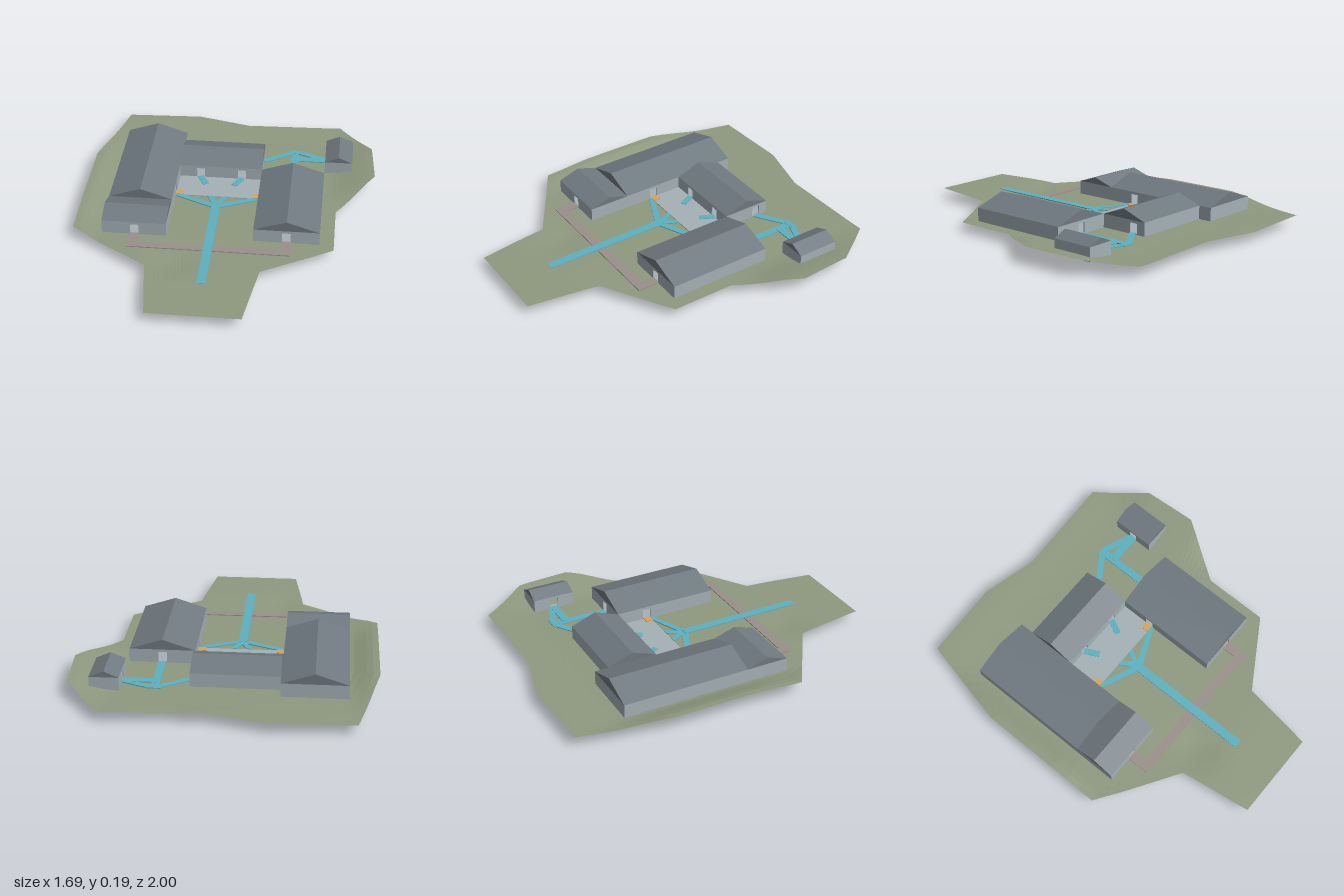
import * as THREE from 'three';

const mat = (name, color, side = THREE.FrontSide) => {
  const m = new THREE.MeshStandardMaterial({ color, side, flatShading: true });
  m.name = name;
  return m;
};

export function createModel() {
  const grass = mat('grass', 0x8f997f, THREE.DoubleSide);
  const wall = mat('wall', 0xa5b1b7, THREE.DoubleSide);
  const roof = mat('roof', 0x707a81);
  const teal = mat('tealPath', 0x5db1c0);
  const mauve = mat('mauvePath', 0x9a908b);
  const orange = mat('stairwell', 0xdba259);

  const model = new THREE.Group();
  const add = (parent, name, geometry, material) => {
    const mesh = new THREE.Mesh(geometry, material);
    mesh.name = name;
    parent.add(mesh);
    return mesh;
  };
  // Box given by its limits on each axis
  const box = (parent, name, material, x0, x1, y0, y1, z0, z1) => {
    const mesh = add(parent, name, new THREE.BoxGeometry(x1 - x0, y1 - y0, z1 - z0), material);
    mesh.position.set((x0 + x1) / 2, (y0 + y1) / 2, (z0 + z1) / 2);
  };
  const polygon = (pts) => new THREE.Shape(pts.map(([x, y]) => new THREE.Vector2(x, y)));

  // Ground: rings between the centre and the site outline, rising at both sides
  const outline = [[-0.73, -0.98], [-0.28, -1], [0.04, -0.92], [0.62, -0.94], [0.82, -0.66], [0.84, -0.35],
    [0.62, -0.02], [0.62, 0.35], [0.23, 0.59], [0.17, 1], [-0.34, 1], [-0.4, 0.59], [-0.85, 0.3], [-0.85, -0.45]];
  const ss = THREE.MathUtils.smoothstep;
  const height = (x, z) => 0.052
    + 0.04 * ss(-x, 0.67, 0.84) * (1 - ss(-z, 0.4, 1)) * (1 - 0.5 * ss(z, 0, 0.3))
    + 0.046 * ss(x, 0.54, 0.86) * ss(-z, 0, 0.3) * (1 - 0.7 * ss(-z, 0.6, 0.95))
    + 0.009 * ss(z, 0.35, 0.75) + 0.008 * ss(-z, 0.7, 0.98)
    - 0.012 * Math.exp(-((x + 0.25) ** 2 + (z - 0.56) ** 2) / 0.015);
  const rim = [];
  outline.forEach(([x, z], i) => {
    const [nx, nz] = outline[(i + 1) % outline.length];
    for (let k = 0; k < 8; k++) rim.push([x + (nx - x) * k / 8, z + (nz - z) * k / 8]);
  });
  const rings = 24, n = rim.length, pos = [], index = [];
  for (let r = 0; r <= rings; r++) {
    for (const [x, z] of rim) {
      const px = x * r / rings, pz = z * r / rings;
      pos.push(px, height(px, pz), pz);
    }
  }
  for (let r = 0; r < rings; r++) {
    for (let i = 0; i < n; i++) {
      const a = r * n + i, b = r * n + (i + 1) % n;
      if (r > 0) index.push(a, b, a + n);
      index.push(b, b + n, a + n);
    }
  }
  const ground = new THREE.BufferGeometry();
  ground.setAttribute('position', new THREE.Float32BufferAttribute(pos, 3));
  ground.setIndex(index);
  ground.computeVertexNormals();
  add(model, 'ground', ground, grass);

  // Gable roof: a closed prism with its ridge along x or z
  const gable = (parent, x0, x1, z0, z1, eave, ridge, axis) => {
    const alongZ = axis === 'z';
    const half = (alongZ ? x1 - x0 : z1 - z0) / 2;
    const length = alongZ ? z1 - z0 : x1 - x0;
    const geo = new THREE.ExtrudeGeometry(polygon([[-half, 0], [half, 0], [0, ridge - eave]]),
      { depth: length, bevelEnabled: false });
    geo.translate(0, 0, -length / 2);
    const mesh = add(parent, 'gableRoof', geo, roof);
    if (!alongZ) mesh.rotation.y = Math.PI / 2;
    mesh.position.set((x0 + x1) / 2, eave, (z0 + z1) / 2);
  };

  // Wall panel from a to b with open doorways at the given distances along it
  const panel = (parent, a, b, y0, y1, doors) => {
    const length = Math.hypot(b[0] - a[0], b[1] - a[1]);
    const shape = polygon([[0, y0], [length, y0], [length, y1], [0, y1]]);
    for (const d of doors) {
      const hole = new THREE.Path();
      hole.moveTo(d - 0.024, y0 + 0.007).lineTo(d - 0.024, 0.115).lineTo(d + 0.024, 0.115)
        .lineTo(d + 0.024, y0 + 0.007).closePath();
      shape.holes.push(hole);
    }
    const mesh = add(parent, 'wallPanel',
      new THREE.ExtrudeGeometry(shape, { depth: 0.006, bevelEnabled: false }).translate(0, 0, -0.006), wall);
    mesh.position.set(a[0], 0, a[1]);
    mesh.rotation.y = -Math.atan2(b[1] - a[1], b[0] - a[0]);
  };

  // Hollow building; door positions are world x (front, back) or z (left, right)
  const building = (name, x0, x1, z0, z1, eave, doors) => {
    const g = new THREE.Group();
    g.name = name;
    model.add(g);
    const y0 = 0.05, { front = [], back = [], left = [], right = [] } = doors;
    panel(g, [x0, z1], [x1, z1], y0, eave, front.map((x) => x - x0));
    panel(g, [x1, z0], [x0, z0], y0, eave, back.map((x) => x1 - x));
    panel(g, [x1, z1], [x1, z0], y0, eave, left.map((z) => z1 - z));
    panel(g, [x0, z0], [x0, z1], y0, eave, right.map((z) => z - z0));
    box(g, 'floor', wall, x0 + 0.006, x1 - 0.006, 0.047, 0.054, z0 + 0.006, z1 - 0.006);
    return g;
  };

  const westHall = building('westHall', -0.685, -0.32, -0.677, 0.304, 0.13, { front: [-0.5], left: [-0.125] });
  gable(westHall, -0.685, -0.32, -0.677, 0.058, 0.13, 0.19, 'z');
  gable(westHall, -0.685, -0.32, 0.058, 0.304, 0.13, 0.17, 'x');
  const eastHall = building('eastHall', 0.17, 0.54, -0.308, 0.304, 0.13, { front: [0.355], back: [0.355], right: [-0.125] });
  gable(eastHall, 0.17, 0.54, -0.308, 0.304, 0.13, 0.19, 'z');
  const centreHall = building('centreHall', -0.32, 0.17, -0.597, -0.308, 0.13, { front: [-0.195, 0.05], left: [-0.52] });
  gable(centreHall, -0.32, 0.17, -0.597, -0.308, 0.13, 0.184, 'x');
  const smallHouse = building('smallHouse', 0.54, 0.703, -0.677, -0.432, 0.127, { right: [-0.555] });
  gable(smallHouse, 0.54, 0.703, -0.677, -0.432, 0.127, 0.162, 'z');

  // Courtyard slab
  box(model, 'courtyard', wall, -0.32, 0.17, 0.05, 0.057, -0.308, -0.105);

  // Flat path strip from a to b
  const strip = (name, material, a, b, width, top = 0.06) => {
    const dx = b[0] - a[0], dz = b[1] - a[1];
    const mesh = add(model, name, new THREE.BoxGeometry(Math.hypot(dx, dz), 0.005, width), material);
    mesh.position.set((a[0] + b[0]) / 2, top - 0.0025, (a[1] + b[1]) / 2);
    mesh.rotation.y = -Math.atan2(dz, dx);
  };
  // Flat path plate from a plan outline of x, z points
  const plate = (name, material, pts, top) => {
    const geo = new THREE.ExtrudeGeometry(polygon(pts.map(([x, z]) => [x, -z])), { depth: 0.005, bevelEnabled: false });
    add(model, name, geo.rotateX(-Math.PI / 2), material).position.y = top - 0.005;
  };
  const mid = -0.073;
  strip('mainPath', teal, [mid, -0.01], [mid, 0.725], 0.05, 0.0625);
  for (const s of [-1, 1]) {
    const arm = (pts, top) => plate('fanPath', teal, pts.map(([x, z]) => [mid + s * x, z]), top);
    arm([[0, 0.014], [0, -0.022], [0.2, -0.105], [0.243, -0.105], [0.243, -0.09], [0.025, 0.008]], 0.06);
    arm([[0, 0], [0, -0.05], [0.03, -0.105], [0.062, -0.105], [0.022, -0.02]], 0.0605);
    strip('doorPath', teal, [mid + s * 0.083, -0.23], [mid + s * 0.125, -0.312], 0.036);
  }
  // Paths behind the east hall
  strip('backPath', teal, [0.355, -0.63], [0.355, -0.31], 0.042);
  strip('backPath', teal, [0.17, -0.515], [0.345, -0.63], 0.036, 0.061);
  strip('backPath', teal, [0.32, -0.633], [0.4, -0.633], 0.03, 0.062);
  strip('backPath', teal, [0.38, -0.63], [0.545, -0.565], 0.036, 0.061);
  strip('backPath', teal, [0.355, -0.555], [0.545, -0.555], 0.046, 0.062);
  // Cross path joining the two front doors
  strip('crossPath', mauve, [-0.53, 0.405], [0.385, 0.405], 0.05, 0.058);
  strip('crossPathLeg', mauve, [-0.503, 0.3], [-0.503, 0.4], 0.055, 0.058);
  strip('crossPathLeg', mauve, [0.357, 0.3], [0.357, 0.4], 0.055, 0.058);

  // Stairwells descending from under the side halls towards the courtyard
  for (const s of [-1, 1]) {
    const far = 0.428, well = [[far, 0.006], [0.21, 0.006], [0.21, 0.009], [0.33, 0.05], [far, 0.05]];
    const geo = new THREE.ExtrudeGeometry(polygon(well.map(([x, y]) => [mid + s * x, y])), { depth: 0.04, bevelEnabled: false });
    add(model, 'stairwell', geo, orange).position.z = -0.145;
    const a = mid + s * 0.202, b = mid + s * 0.245;
    box(model, 'stairLanding', orange, Math.min(a, b), Math.max(a, b), 0.054, 0.0615, -0.147, -0.105);
    for (let i = 0; i < 5; i++) {
      const x = mid + s * (0.215 + i * 0.024);
      box(model, 'stairStep', wall, x - 0.011, x + 0.011, i * 0.01, 0.006 + i * 0.01, -0.104, -0.098);
    }
  }

  // Underground passage walls
  box(model, 'passageWall', wall, -0.32, 0.17, 0.006, 0.05, -0.178, -0.17);
  box(model, 'passageWall', wall, -0.328, -0.32, 0.006, 0.05, -0.47, -0.17);
  box(model, 'passageWall', wall, -0.685, -0.328, 0.006, 0.05, -0.475, -0.467);
  box(model, 'passageDoor', orange, -0.53, -0.48, 0.006, 0.05, -0.49, -0.475);
  box(model, 'courtyardEdge', orange, -0.29, 0.14, 0.048, 0.051, -0.109, -0.104);

  return model;
}
